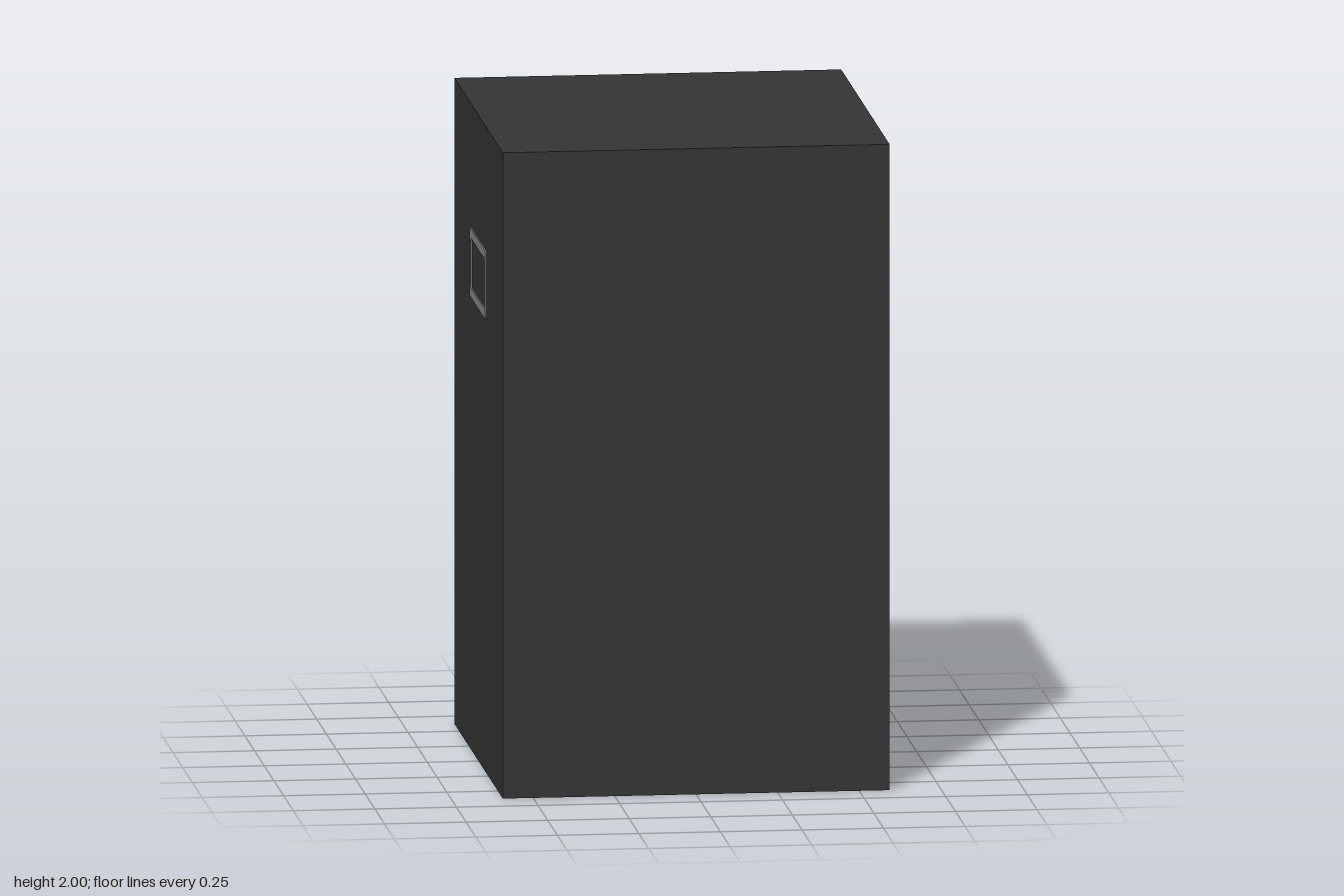
import * as THREE from 'three';

const W = 1.186, H = 2, D = 1.25;   // outer size
const SIDE = 0.043, EDGE = 0.053;   // frame widths beside and above the door
const RECESS = 0.06;                // door set back into the frame

const cabinetMat = new THREE.MeshStandardMaterial({ color: 0x353535 });
cabinetMat.name = 'charcoal';
const metalMat = new THREE.MeshStandardMaterial({ color: 0x8a8a8a });
metalMat.name = 'grey metal';

function addMesh(parent, name, geometry, material, x = 0, y = 0, z = 0) {
  const mesh = new THREE.Mesh(geometry, material);
  mesh.name = name;
  mesh.position.set(x, y, z);
  parent.add(mesh);
  return mesh;
}

// Rectangle with optionally rounded corners, centred on the origin
function roundedRect(path, w, h, r) {
  const x = w / 2, y = h / 2;
  path.moveTo(-x + r, -y);
  path.lineTo(x - r, -y);
  path.quadraticCurveTo(x, -y, x, -y + r);
  path.lineTo(x, y - r);
  path.quadraticCurveTo(x, y, x - r, y);
  path.lineTo(-x + r, y);
  path.quadraticCurveTo(-x, y, -x, y - r);
  path.lineTo(-x, -y + r);
  path.quadraticCurveTo(-x, -y, -x + r, -y);
  return path;
}

function rect(path, w, h) {
  const x = w / 2, y = h / 2;
  path.moveTo(-x, -y);
  path.lineTo(x, -y);
  path.lineTo(x, y);
  path.lineTo(-x, y);
  path.closePath();
  return path;
}

export function createModel() {
  const model = new THREE.Group();
  model.name = 'cabinet';

  // Solid body; its rear face lies behind the door
  const bodyDepth = D - RECESS - 0.02;
  addMesh(model, 'body', new THREE.BoxGeometry(W, H, bodyDepth), cabinetMat,
    0, H / 2, D / 2 - bodyDepth / 2);

  // Rim around the recessed door
  const rim = rect(new THREE.Shape(), W, H);
  rim.holes.push(rect(new THREE.Path(), W - 2 * SIDE, H - 2 * EDGE));
  addMesh(model, 'doorFrame',
    new THREE.ExtrudeGeometry(rim, { depth: RECESS + 0.02, bevelEnabled: false }),
    cabinetMat, 0, H / 2, -D / 2);

  // Door and its round lock
  addMesh(model, 'door',
    new THREE.BoxGeometry(W - 2 * SIDE, H - 2 * EDGE, 0.02), cabinetMat,
    0, H / 2, -D / 2 + RECESS + 0.01);
  const lock = addMesh(model, 'lock', new THREE.CylinderGeometry(0.038, 0.038, 0.02, 24),
    metalMat, 0.1, 0.965, -D / 2 + RECESS - 0.008);
  lock.rotation.x = Math.PI / 2;

  // Flat carrying handle on each side
  const ring = roundedRect(new THREE.Shape(), 0.404, 0.212, 0.015);
  ring.holes.push(roundedRect(new THREE.Path(), 0.35, 0.156, 0.02));
  const handleGeo = new THREE.ExtrudeGeometry(ring, { depth: 0.006, bevelEnabled: false });
  for (const side of [1, -1]) {
    const handle = addMesh(model, side > 0 ? 'leftHandle' : 'rightHandle',
      handleGeo, metalMat, side * (W / 2 - 0.002), 1.512, 0);
    handle.rotation.y = side * Math.PI / 2;
  }

  return model;
}
